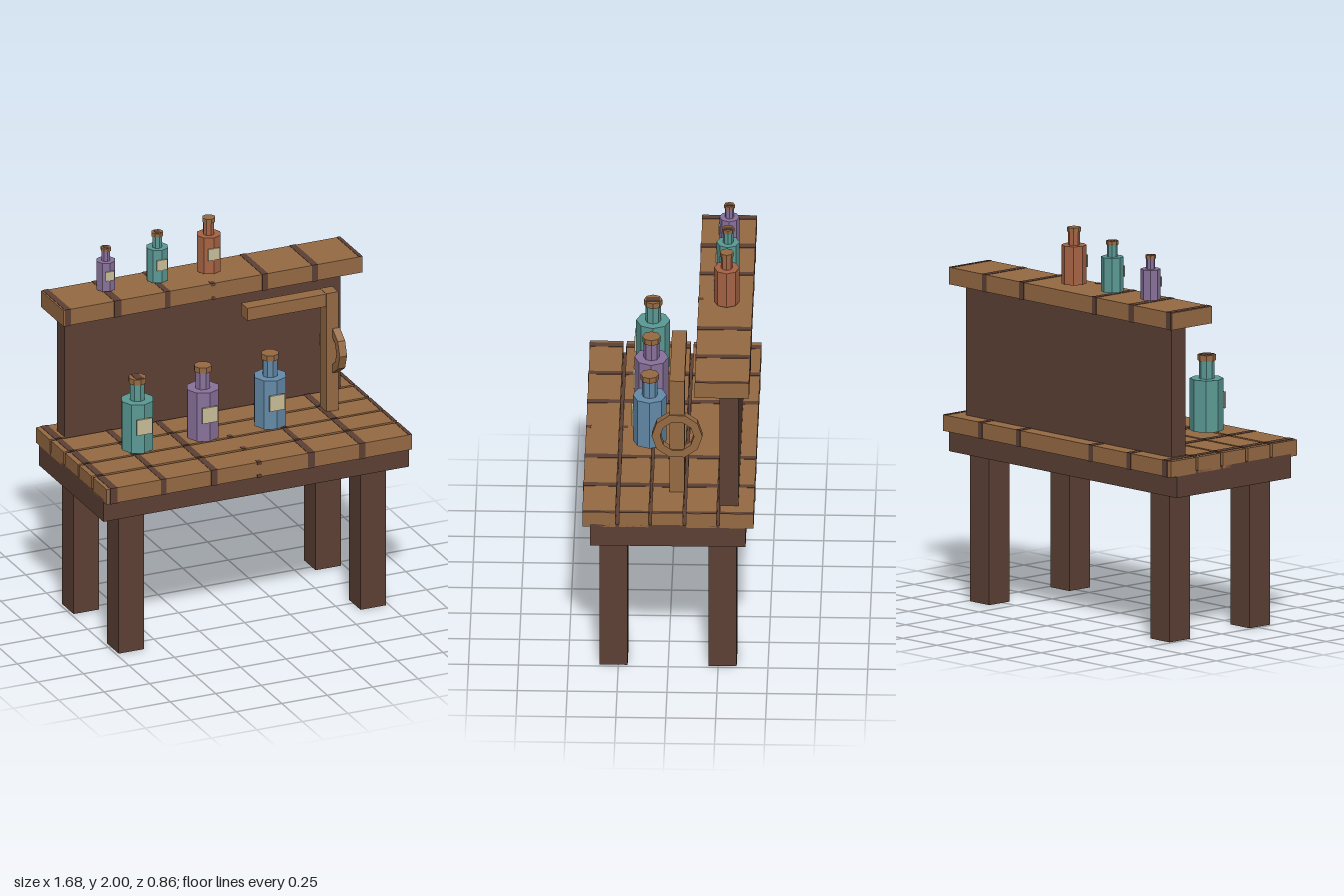
import * as THREE from 'three';

const mat = (name, color) => {
  const m = new THREE.MeshStandardMaterial({ color });
  m.name = name;
  m.flatShading = true;
  return m;
};

export function createModel() {
  const root = new THREE.Group();
  root.name = 'potionStall';

  const wood = mat('wood', 0x966a43);
  const dark = mat('darkWood', 0x5c4034);
  const teal = mat('tealGlass', 0x5a9994);
  const purple = mat('purpleGlass', 0x89719b);
  const blue = mat('blueGlass', 0x648aa8);
  const orange = mat('orangeGlass', 0xa66344);
  const paper = mat('paper', 0xc9be98);

  let seed = 7;
  const rand = () => (seed = (seed * 16807) % 2147483647) / 2147483647 - 0.5;

  const add = (parent, name, geometry, material, x = 0, y = 0, z = 0) => {
    const mesh = new THREE.Mesh(geometry, material);
    mesh.name = name;
    mesh.position.set(x, y, z);
    parent.add(mesh);
    return mesh;
  };
  // Box given by its limits on each axis
  const box = (parent, name, material, [x0, x1], [y0, y1], [z0, z1]) =>
    add(parent, name, new THREE.BoxGeometry(x1 - x0, y1 - y0, z1 - z0), material,
      (x0 + x1) / 2, (y0 + y1) / 2, (z0 + z1) / 2);

  // Plank with dark grain bands wrapped around it
  const bands = [-0.797, -0.525, -0.25, 0.287, 0.562];
  const plank = (name, halfX, [y0, y1], [z0, z1]) => {
    const g = new THREE.Group();
    g.name = name;
    const e = 0.002;
    box(g, 'board', wood, [-halfX, halfX], [y0, y1], [z0, z1]);
    for (const b of bands) {
      const x = b + rand() * 0.008;
      const w = 0.017 + rand() * 0.006;
      box(g, 'grainBand', dark, [x - w, x + w], [y0 - e, y1 + e], [z0 - e, z1 + e]);
    }
    // Short knot at the front edge and a strip along the end
    box(g, 'knot', dark, [-0.012, 0.012], [y1 - 0.015, y1 + e], [z1 - 0.025, z1 + e]);
    box(g, 'knot', dark, [-0.012, 0.012], [y0 - e, y0 + 0.015], [z1 - 0.025, z1 + e]);
    box(g, 'endStrip', dark, [halfX - 0.02, halfX - 0.001], [y1 - 0.004, y1 + e], [z0, z1]);
    root.add(g);
  };

  // Legs and apron
  for (const sx of [-1, 1])
    for (const sz of [-1, 1])
      add(root, 'leg', new THREE.BoxGeometry(0.14, 0.77, 0.14), dark, sx * 0.665, 0.385, sz * 0.273);
  box(root, 'apron', dark, [-0.84, 0.84], [0.757, 0.88], [-0.39, 0.39]);

  // Table top planks
  const rows = [[0.262, 0.428], [0.095, 0.244], [-0.076, 0.08], [-0.245, -0.092], [-0.43, -0.26]];
  for (const z of rows) plank('tablePlank', 0.84, [0.866, 0.948], z);

  // Back panel and shelf
  box(root, 'backPanel', dark, [-0.76, 0.757], [0.87, 1.62], [-0.352, -0.258]);
  plank('shelf', 0.823, [1.613, 1.7], [-0.407, -0.135]);

  // Wooden tap: post, arm and ten-sided wheel
  const tap = new THREE.Group();
  tap.name = 'tap';
  box(tap, 'post', wood, [0.564, 0.63], [0.94, 1.594], [-0.08, -0.004]);
  box(tap, 'arm', wood, [0.13, 0.6], [1.524, 1.592], [-0.079, -0.005]);
  const polygon = (r, T) => {
    const pts = [];
    for (let i = 0; i < 10; i++) {
      const a = (i / 10) * Math.PI * 2;
      pts.push(new THREE.Vector2(r * Math.cos(a), r * Math.sin(a)));
    }
    return new T(pts);
  };
  const ring = polygon(0.127, THREE.Shape);
  ring.holes.push(polygon(0.085, THREE.Path));
  const wheel = add(tap, 'wheel',
    new THREE.ExtrudeGeometry(ring, { depth: 0.04, bevelEnabled: false }), wood, 0.598, 1.277, -0.042);
  wheel.rotation.y = Math.PI / 2;
  root.add(tap);

  // Bottles: eight-sided body, neck, cork and paper label
  const bottle = (name, glass, x, y, z, scale, striped) => {
    const g = new THREE.Group();
    g.name = name;
    const tube = (part, m, r, y0, y1) =>
      add(g, part, new THREE.CylinderGeometry(r, r, y1 - y0, 8), m, 0, (y0 + y1) / 2, 0);
    tube('body', glass, 0.085, 0, 0.264);
    tube('neck', glass, 0.039, 0.26, 0.36);
    tube('cork', wood, 0.046, 0.355, 0.385);
    if (striped) add(g, 'corkGrain', new THREE.BoxGeometry(0.04, 0.004, 0.07), dark, 0, 0.385, 0);
    add(g, 'label', new THREE.BoxGeometry(0.084, 0.084, 0.009), paper, 0, 0.146, 0.087);
    g.position.set(x, y, z);
    g.scale.setScalar(scale);
    root.add(g);
  };
  bottle('largeTealBottle', teal, -0.525, 0.996, 0.105, 1, true);
  bottle('largePurpleBottle', purple, -0.165, 0.996, 0.105, 1, false);
  bottle('largeBlueBottle', blue, 0.205, 0.996, 0.105, 1, false);
  bottle('smallPurpleBottle', purple, -0.525, 1.713, -0.277, 0.585, true);
  bottle('smallTealBottle', teal, -0.242, 1.713, -0.277, 0.67, true);
  bottle('smallOrangeBottle', orange, 0.041, 1.713, -0.277, 0.745, false);

  return root;
}
